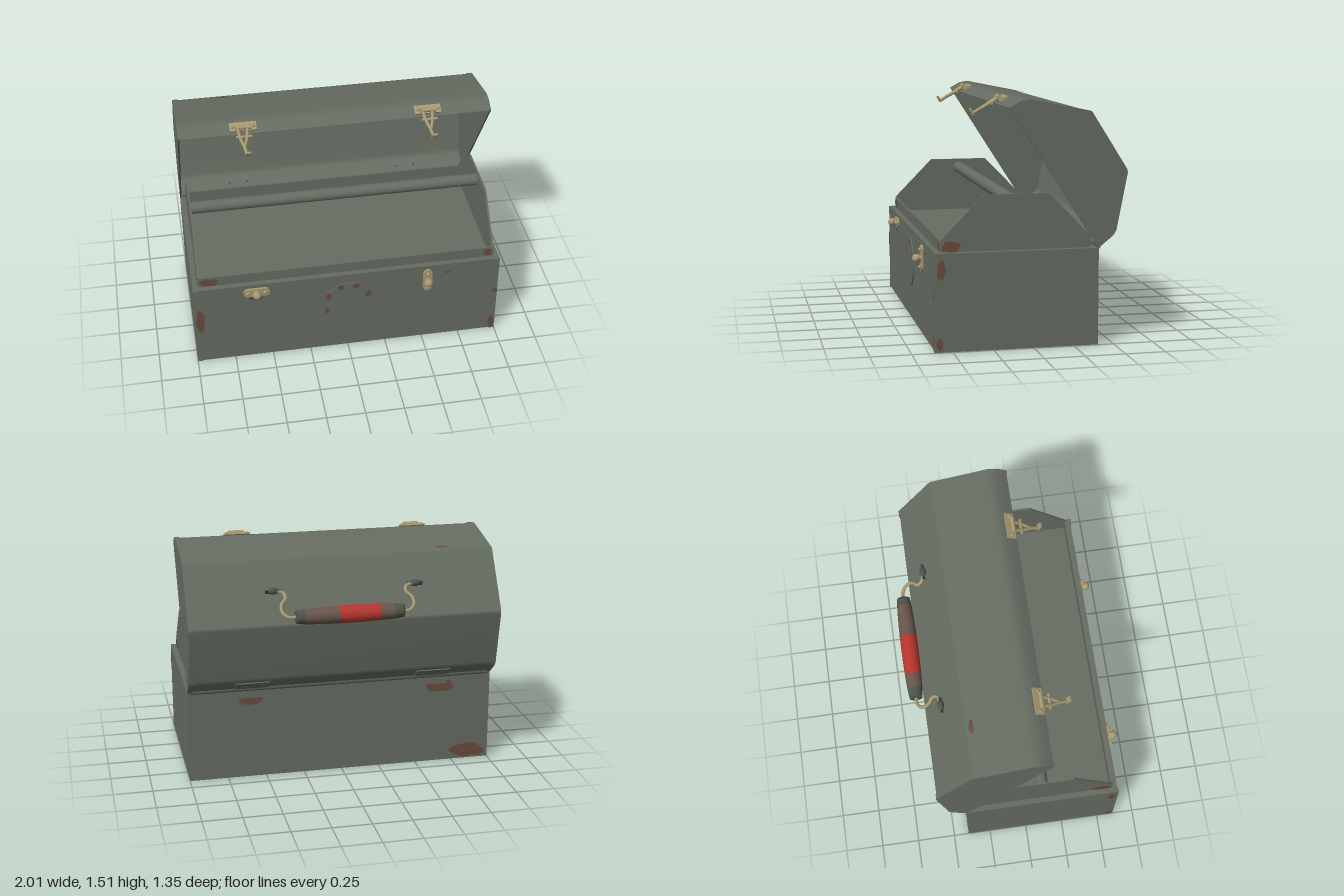
import * as THREE from 'three';

const mat = (name, color, side = THREE.FrontSide) => {
  const m = new THREE.MeshStandardMaterial({ color, side });
  m.name = name;
  return m;
};

export function createModel() {
  const root = new THREE.Group();
  root.name = 'toolbox';
  const green = mat('green paint', 0x666d62);
  const sheet = mat('green sheet', 0x666d62, THREE.DoubleSide);
  const brass = mat('brass', 0xa89a72);
  const rust = mat('rust', 0x6b4c3f);
  const red = mat('red grip', 0xb8362f);
  const brown = mat('worn grip', 0x68564c);
  const steel = mat('dark steel', 0x4e544e);

  const add = (name, geo, material, x = 0, y = 0, z = 0, parent = root) => {
    const m = new THREE.Mesh(geo, material);
    m.name = name;
    m.position.set(x, y, z);
    parent.add(m);
    return m;
  };
  const box = (name, w, h, d, x, y, z, material = green, parent = root) =>
    add(name, new THREE.BoxGeometry(w, h, d), material, x, y, z, parent);
  const rod = (name, r, len, x, y, z, material, parent = root, sides = 16) =>
    add(name, new THREE.CylinderGeometry(r, r, len, sides).rotateZ(Math.PI / 2), material, x, y, z, parent);
  const tube = (name, pts, r, material, parent = root) => add(name, new THREE.TubeGeometry(
    new THREE.CatmullRomCurve3(pts.map(p => new THREE.Vector3(...p))), 24, r, 8), material, 0, 0, 0, parent);

  // Plate cut from a (z, y) outline, centred on x
  const sidePlate = (name, pts, thick, x) => {
    const g = new THREE.ExtrudeGeometry(new THREE.Shape(pts.map(p => new THREE.Vector2(...p))),
      { depth: thick, bevelEnabled: false });
    g.translate(0, 0, -thick / 2).rotateY(-Math.PI / 2);
    return add(name, g, green, x);
  };

  // Lower box: solid body and a raised rim around the tray
  box('body', 2, 0.57, 1.005, 0, 0.285, 0.1025);
  box('frontRim', 2, 0.03, 0.04, 0, 0.585, 0.585);
  box('backRim', 2, 0.03, 0.04, 0, 0.585, -0.38);
  for (const s of [-1, 1]) {
    box('sideRim', 0.04, 0.03, 0.925, s * 0.98, 0.585, 0.1025);
    box('frontCornerSeam', 0.035, 0.6, 0.006, s * 0.9825, 0.3, 0.608);
  }

  // Tray: lips, shaped ends and the cross bar
  const trayEnd = [[0.57, 0.57], [0.57, 0.67], [0.305, 0.94], [-0.095, 0.94], [-0.36, 0.67], [-0.36, 0.57]];
  for (const s of [-1, 1]) sidePlate('trayEnd', trayEnd, 0.012, s * 0.958);
  box('trayFrontLip', 1.91, 0.1, 0.012, 0, 0.62, 0.564);
  box('trayBackLip', 1.91, 0.1, 0.012, 0, 0.62, -0.354);
  rod('crossBar', 0.04, 1.91, 0, 0.88, 0.1, green, root, 20);

  // Lid: smooth curved sheet with end plates and folded flanges
  const lid = [[-0.395, 0.605], [-0.487, 0.68], [-0.505, 0.71], [-0.572, 1.055], [-0.57, 1.075],
    [-0.348, 1.425], [-0.335, 1.43], [0.025, 1.502], [0.085, 1.492], [0.15, 1.455]];
  const lidStrip = (name, x0, x1, grow) => {
    const pos = [], idx = [];
    lid.forEach(([z, y], i) => {
      const pz = -0.15 + (z + 0.15) * grow, py = 1.1 + (y - 1.1) * grow;
      pos.push(x0, py, pz, x1, py, pz);
      if (i) idx.push(2 * i - 2, 2 * i, 2 * i - 1, 2 * i - 1, 2 * i, 2 * i + 1);
    });
    const g = new THREE.BufferGeometry();
    g.setAttribute('position', new THREE.Float32BufferAttribute(pos, 3));
    g.setIndex(idx);
    g.computeVertexNormals();
    add(name, g, sheet);
  };
  lidStrip('lidSheet', -0.995, 0.995, 1);
  for (const s of [-1, 1]) {
    lidStrip('lidFlange', s > 0 ? 0.968 : -0.998, s > 0 ? 0.998 : -0.968, 1.012);
    sidePlate('lidEnd', lid.map(([z, y]) => [-0.15 + (z + 0.15) * 1.012, 1.1 + (y - 1.1) * 1.012]),
      0.01, s * 0.995);
  }

  // Hinges
  rod('hingePin', 0.011, 1.96, 0, 0.603, -0.405, steel, root, 8);
  for (const s of [-1, 1]) {
    box('hingeLidLeaf', 0.22, 0.09, 0.008, s * 0.59, 0.642, -0.445).rotation.x = 2.26;
    box('hingeBoxLeaf', 0.22, 0.05, 0.008, s * 0.59, 0.57, -0.403);
    for (const dx of [-0.06, 0.06])
      add('hingeRivet', new THREE.SphereGeometry(0.01, 8, 6), steel, s * 0.59 + dx, 0.642, -0.448);
  }

  // Carrying handle: grip turned in colour bands
  const gripR = x => 0.034 + 0.021 * Math.sqrt(Math.max(0, 1 - (x / 0.36) ** 2));
  const band = (name, x0, x1, material) => {
    const pts = [];
    for (let i = 0; i <= 6; i++) {
      const x = x0 + (x1 - x0) * i / 6;
      pts.push(new THREE.Vector2(gripR(x), x));
    }
    if (x0 < -0.33) pts.unshift(new THREE.Vector2(0, x0));
    if (x1 > 0.33) pts.push(new THREE.Vector2(0, x1));
    add(name, new THREE.LatheGeometry(pts, 20).rotateZ(-Math.PI / 2), material, 0, 1.13, -0.618);
  };
  band('gripEnd', -0.345, -0.28, steel);
  band('gripWorn', -0.28, -0.19, brown);
  band('gripRed', -0.19, 0.07, red);
  band('gripWorn', 0.07, 0.285, brown);
  band('gripEnd', 0.285, 0.34, steel);
  for (const s of [-1, 1]) {
    const wire = [[0.33, -0.618], [0.385, -0.617], [0.42, -0.585], [0.415, -0.545], [0.385, -0.515],
      [0.395, -0.485], [0.45, -0.47]].map(([x, z]) => [s * x, 1.13 + (z + 0.618) * 0.9, z]);
    tube('handleWire', wire, 0.011, brass);
    const mount = add('handleMount', new THREE.SphereGeometry(0.022, 10, 8), steel, s * 0.455, 1.262, -0.47);
    mount.scale.x = 1.6;
    box('handleMountPlate', 0.1, 0.05, 0.008, s * 0.455, 1.25, -0.463, steel).rotation.x = Math.PI - 0.56;
  }

  // Lid latches: plate, pivot and hanging hook
  for (const s of [-1, 1]) {
    const latch = new THREE.Group();
    latch.name = 'lidLatch';
    latch.position.set(s * 0.59, 1.482, 0.115);
    latch.rotation.x = 0.48;
    root.add(latch);
    box('latchPlate', 0.17, 0.012, 0.06, 0, 0.006, 0, brass, latch);
    rod('latchPivot', 0.015, 0.1, 0, 0.022, 0.012, brass, latch, 10);
    for (const dx of [-0.065, 0.065])
      add('latchRivet', new THREE.SphereGeometry(0.013, 8, 6), brass, dx, 0.012, 0, latch);
    tube('latchArm', [[-0.035, 0.02, 0.01], [-0.025, 0.012, 0.08], [-0.005, 0.01, 0.15], [0.005, 0.008, 0.205]],
      0.011, brass, latch);
    tube('latchArm', [[0.025, 0.02, 0.01], [0.02, 0.014, 0.07], [0, 0.01, 0.14]], 0.01, brass, latch);
    rod('latchCrossbar', 0.01, 0.1, 0, 0.012, 0.075, brass, latch, 8);
    box('latchTip', 0.035, 0.045, 0.012, 0.008, 0.022, 0.205, brass, latch);
  }

  // Catches on the front, one turned upright
  for (const [x, y, turn, ky] of [[-0.595, 0.545, 0, 0], [0.523, 0.49, Math.PI / 2, 0]]) {
    const c = new THREE.Group();
    c.name = 'catch';
    c.position.set(x, y, 0.605);
    c.rotation.z = turn;
    root.add(c);
    box('catchPlate', 0.1, 0.06, 0.014, 0, ky, 0.007, brass, c);
    for (const dx of [-0.055, 0.055]) {
      add('catchEnd', new THREE.CylinderGeometry(0.03, 0.03, 0.014, 14).rotateX(Math.PI / 2), brass, dx, 0, 0.007, c);
      add('catchRivet', new THREE.SphereGeometry(0.014, 8, 6), brass, dx, 0, 0.016, c);
    }
    add('catchStem', new THREE.CylinderGeometry(0.018, 0.022, 0.035, 12).rotateX(Math.PI / 2), brass, 0, 0, 0.025, c);
    add('catchKnob', new THREE.SphereGeometry(0.028, 14, 10), brass, 0, 0, 0.04, c);
  }

  // Blank round plate on the front
  add('roundPlate', new THREE.CylinderGeometry(0.165, 0.165, 0.009, 11).rotateX(Math.PI / 2), green, 0, 0.375, 0.608);

  // Rust patches: wobbly flat blobs turned to lie on each face
  let seed = 7;
  const rnd = () => (seed = (seed * 16807) % 2147483647) / 2147483647;
  const patch = (x, y, z, rx, ry, tiltX = 0, turnY = 0) => {
    const pts = [];
    for (let i = 0; i < 14; i++) {
      const a = i / 14 * Math.PI * 2, k = 0.7 + 0.3 * rnd();
      pts.push(new THREE.Vector2(Math.cos(a) * rx * k, Math.sin(a) * ry * k));
    }
    const m = add('rustPatch', new THREE.ShapeGeometry(new THREE.Shape(pts)), rust, x, y, z);
    m.rotation.set(tiltX, turnY, 0);
  };
  // Front face, round plate and tray lip
  for (const [x, y, rx, ry] of [[-0.965, 0.35, 0.033, 0.11], [0.975, 0.06, 0.024, 0.06], [0.98, 0.34, 0.018, 0.025],
    [-0.6, 0.51, 0.07, 0.035], [0.655, 0.54, 0.02, 0.012], [-0.13, 0.44, 0.025, 0.03], [-0.05, 0.505, 0.028, 0.025],
    [0.05, 0.505, 0.028, 0.025], [0.13, 0.43, 0.022, 0.03], [-0.14, 0.32, 0.014, 0.03]]) patch(x, y, 0.6145, rx, ry);
  patch(-0.89, 0.632, 0.573, 0.065, 0.033);
  patch(0.925, 0.635, 0.573, 0.033, 0.033);
  // Sides
  for (const s of [-1, 1]) {
    const turn = s * Math.PI / 2;
    patch(s * 1.003, 0.05, 0.58, 0.024, 0.05, 0, turn);
    patch(s * 1.003, 0.5, 0.57, 0.03, 0.07, 0, turn);
    patch(s * 0.967, 0.632, 0.5, 0.068, 0.045, 0, turn);
  }
  // Back
  patch(0.59, 0.53, -0.403, 0.09, 0.04, 0, Math.PI);
  patch(-0.66, 0.53, -0.403, 0.1, 0.05, 0, Math.PI);
  patch(-0.86, 0.055, -0.403, 0.14, 0.055, 0, Math.PI);
  // Lid, inside and outside
  patch(-0.45, 1.25, -0.452, 0.035, 0.05, 0.56);
  patch(-0.68, 1.444, -0.335 + 0.03, 0.05, 0.018, -1.77);
  // Underside
  for (const [x, z, rx, rz] of [[0.48, 0.18, 0.24, 0.2], [-0.34, 0.1, 0.28, 0.2], [-0.25, 0.3, 0.15, 0.14],
    [-0.76, -0.24, 0.23, 0.15]]) patch(x, -0.002, z, rx, rz, Math.PI / 2);

  return root;
}
